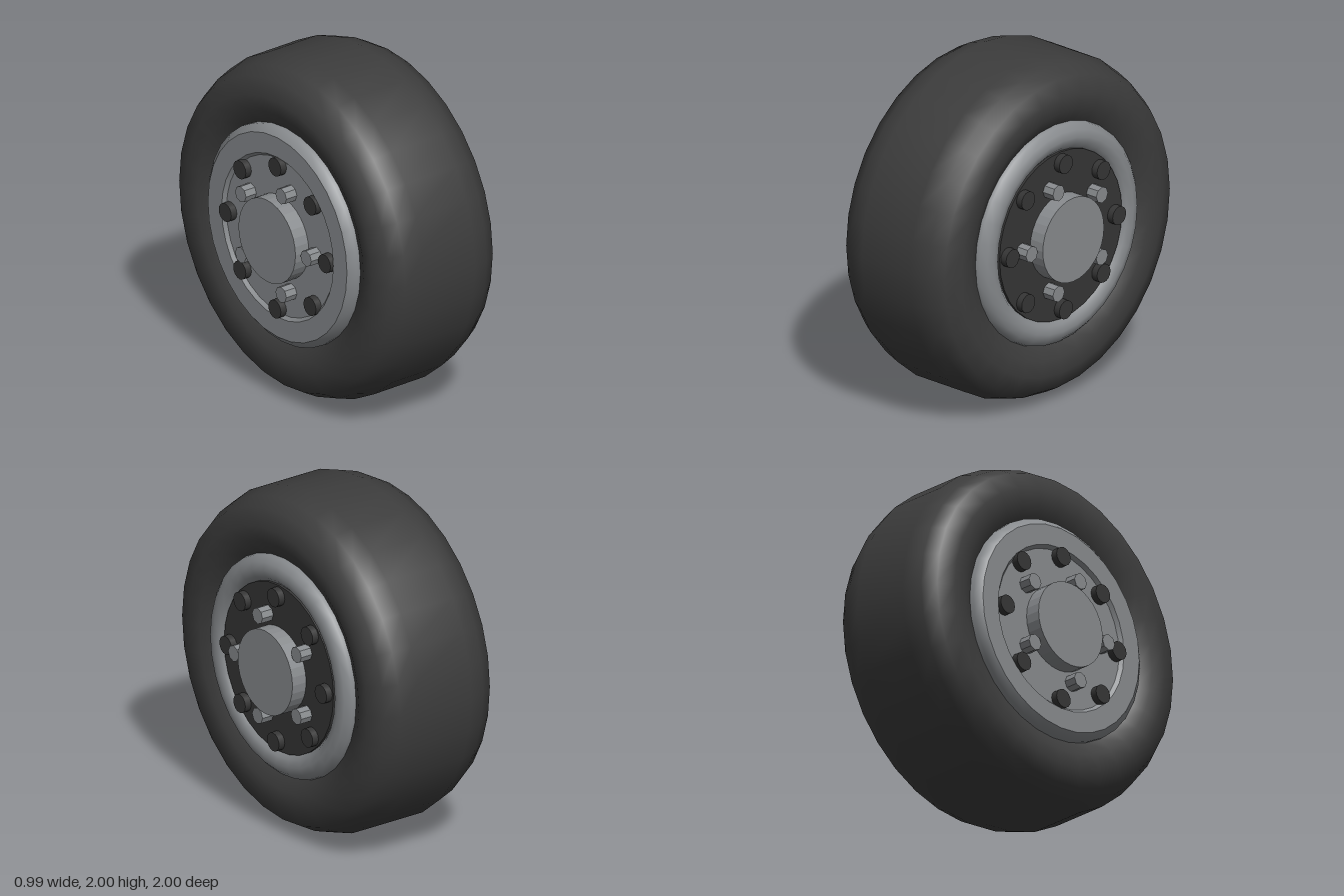
import * as THREE from 'three';

const mat = (name, color) => {
  const m = new THREE.MeshStandardMaterial({ color });
  m.name = name;
  return m;
};

export function createModel() {
  const rubber = mat('rubber', 0x3c3c3c);
  const darkMetal = mat('dark metal', 0x353535);
  const metal = mat('grey metal', 0x878a8d);

  // The wheel is built with its axle along y, then laid along x.
  const wheel = new THREE.Group();
  wheel.name = 'wheel';
  const add = (parent, name, geo, material, x = 0, y = 0, z = 0) => {
    const m = new THREE.Mesh(geo, material);
    m.name = name;
    m.position.set(x, y, z);
    parent.add(m);
    return m;
  };
  const lathe = (pts) => new THREE.LatheGeometry(pts.map(p => new THREE.Vector2(p[0], p[1])), 32);
  const faceted = (geo) => {
    const g = geo.toNonIndexed();
    g.computeVertexNormals();
    return g;
  };

  // Tyre: half profile (radius, axial position) mirrored to both sides
  const half = [[0.58, 0.30], [0.655, 0.36], [0.73, 0.398], [0.82, 0.41], [0.92, 0.372], [0.966, 0.29], [1, 0.18]];
  const profile = [...half.map(([r, a]) => [r, -a]), ...half.slice().reverse()];
  add(wheel, 'tyre', lathe(profile), rubber);

  // One hub face: disc, bolts, nuts and cap, pointing along +y
  const nutGeo = faceted(new THREE.CylinderGeometry(0.048, 0.048, 0.085, 8));
  const boltGeo = new THREE.CylinderGeometry(0.055, 0.055, 0.05, 16);
  const capGeo = faceted(new THREE.CylinderGeometry(0.25, 0.25, 0.12, 32));
  const makeSide = (name, discMaterial) => {
    const side = new THREE.Group();
    side.name = name;
    add(side, 'hubDisc', new THREE.CylinderGeometry(0.5, 0.5, 0.1, 32), discMaterial, 0, 0.35, 0);
    add(side, 'hubCap', capGeo, metal, 0, 0.435, 0);
    for (let i = 0; i < 8; i++) {
      const a = i * Math.PI / 4;
      add(side, 'rimBolt', boltGeo, darkMetal, 0.435 * Math.sin(a), 0.415, 0.435 * Math.cos(a));
    }
    for (let i = 0; i < 5; i++) {
      const a = i * Math.PI * 2 / 5;
      add(side, 'wheelNut', nutGeo, metal, 0.317 * Math.sin(a), 0.4325, 0.317 * Math.cos(a));
    }
    wheel.add(side);
    return side;
  };

  // Outer side with a rounded rim
  const outer = makeSide('outerSide', darkMetal);
  const rim = add(outer, 'roundRim', new THREE.TorusGeometry(0.57, 0.086, 12, 32), metal, 0, 0.336, 0);
  rim.rotation.x = Math.PI / 2;

  // Inner side with a flat rim
  const inner = makeSide('innerSide', metal);
  add(inner, 'flatRimEdge', lathe([[0.65, 0.3], [0.65, 0.385], [0.61, 0.42]]), metal);
  add(inner, 'flatRimFace', lathe([[0.61, 0.42], [0.49, 0.42]]), metal);
  add(inner, 'flatRimWall', lathe([[0.49, 0.42], [0.47, 0.398]]), metal);
  inner.rotation.x = Math.PI;
  // keep the nuts aligned with those of the outer side
  inner.rotation.set(0, 0, Math.PI);

  wheel.rotation.z = -Math.PI / 2;
  wheel.position.y = 1;
  const model = new THREE.Group();
  model.name = 'wheelModel';
  model.add(wheel);
  return model;
}
